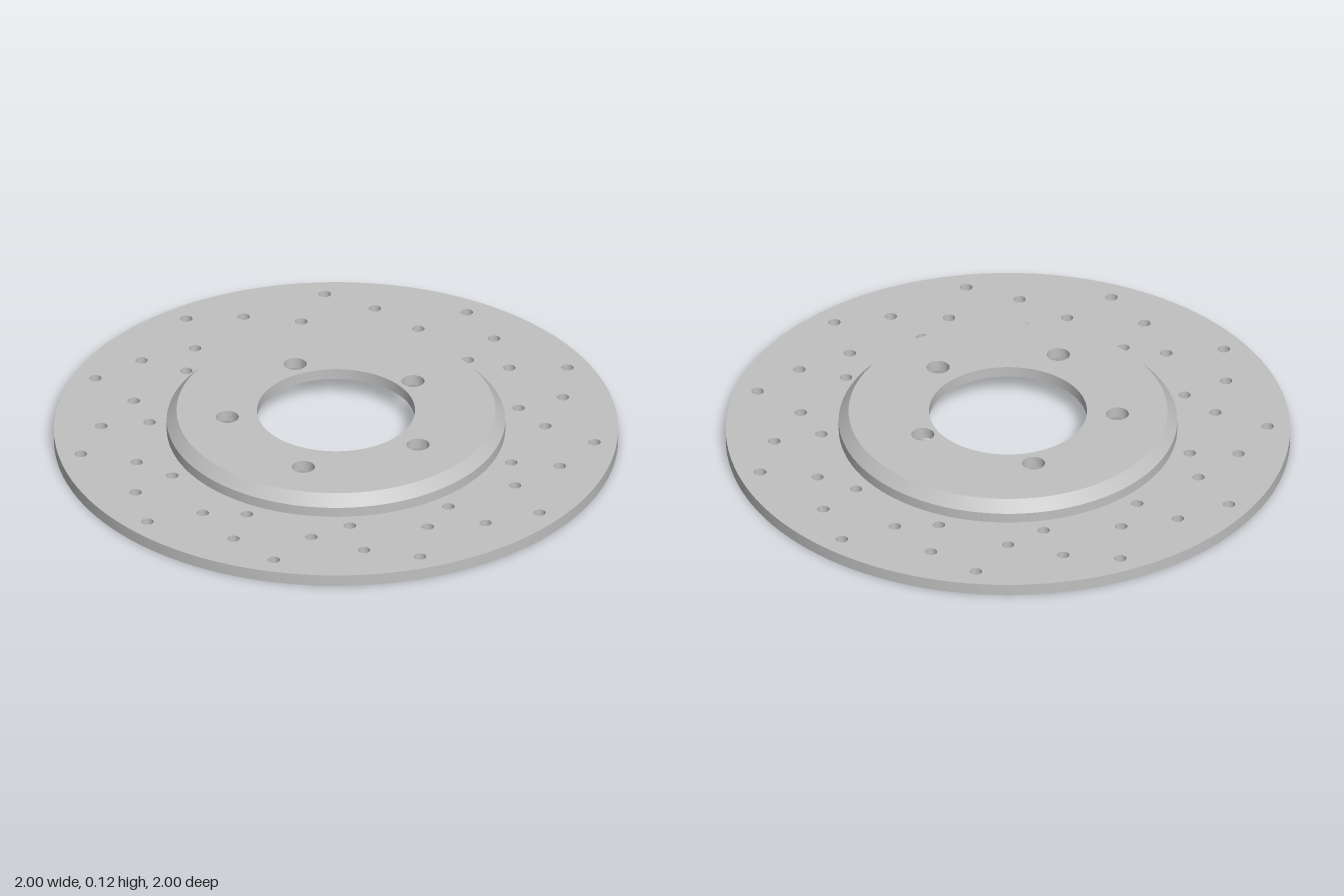
import * as THREE from 'three';
import { toCreasedNormals } from 'three/addons/utils/BufferGeometryUtils.js';

const SEGMENTS = 128;
const DISC_TOP = 0.043, HAT_UNDERSIDE = 0.08, HAT_TOP = 0.12;
const HAT_RADIUS = 0.6, FACE_RADIUS = 0.565, RECESS_RADIUS = 0.51, BORE_RADIUS = 0.28;

// Points of a circle centred at (x, z) on the ground plane
function circle(x, z, radius, count) {
  return Array.from({ length: count }, (_, i) => {
    const a = (i / count) * Math.PI * 2;
    return new THREE.Vector2(x + radius * Math.cos(a), -z + radius * Math.sin(a));
  });
}

// Flat ring with extra round holes, standing from y0 to y1
function drilledRing(outer, inner, holes, y0, y1) {
  const shape = new THREE.Shape(circle(0, 0, outer, SEGMENTS));
  shape.holes.push(new THREE.Path(circle(0, 0, inner, SEGMENTS)));
  for (const [x, z, r] of holes) shape.holes.push(new THREE.Path(circle(x, z, r, 24)));
  const geometry = new THREE.ExtrudeGeometry(shape, { depth: y1 - y0, bevelEnabled: false });
  geometry.rotateX(-Math.PI / 2).translate(0, y0, 0);
  return toCreasedNormals(geometry, 0.5);
}

// Turned wall from [radius, y] points
function turned(profile) {
  const points = profile.map(([r, y]) => new THREE.Vector2(r, y));
  return toCreasedNormals(new THREE.LatheGeometry(points, SEGMENTS), 0.5);
}

export function createModel() {
  const model = new THREE.Group();
  model.name = 'brakeDisc';
  const steel = new THREE.MeshStandardMaterial({ color: 0xc0c0c0 });
  steel.name = 'steel';

  const add = (name, geometry) => {
    const mesh = new THREE.Mesh(geometry, steel);
    mesh.name = name;
    model.add(mesh);
  };

  // Vent holes: four rings of eleven, [ring radius, start angle in degrees from the back]
  const ventHoles = [];
  for (const [radius, start] of [[0.92, 4.3], [0.832, -16.4], [0.742, -2.8], [0.662, -13.8]]) {
    for (let i = 0; i < 11; i++) {
      const a = THREE.MathUtils.degToRad(start) + (i / 11) * Math.PI * 2;
      ventHoles.push([radius * Math.sin(a), -radius * Math.cos(a), 0.022]);
    }
  }

  // Five bolt holes on a slightly offset circle
  const boltHoles = [];
  for (let i = 0; i < 5; i++) {
    const a = THREE.MathUtils.degToRad(40.4 + i * 72);
    boltHoles.push([-0.02 + 0.369 * Math.cos(a), 0.028 + 0.369 * Math.sin(a), 0.041]);
  }

  // Friction ring, hat face, chamfered hat wall and wall of the recess below
  add('frictionRing', drilledRing(1, RECESS_RADIUS, ventHoles, 0, DISC_TOP));
  add('hatFace', drilledRing(FACE_RADIUS, BORE_RADIUS, boltHoles, HAT_UNDERSIDE, HAT_TOP));
  add('hatWall', turned([[HAT_RADIUS, DISC_TOP], [HAT_RADIUS, HAT_UNDERSIDE], [FACE_RADIUS, HAT_TOP]]));
  add('recessWall', turned([[RECESS_RADIUS, HAT_UNDERSIDE], [RECESS_RADIUS, DISC_TOP]]));

  return model;
}
